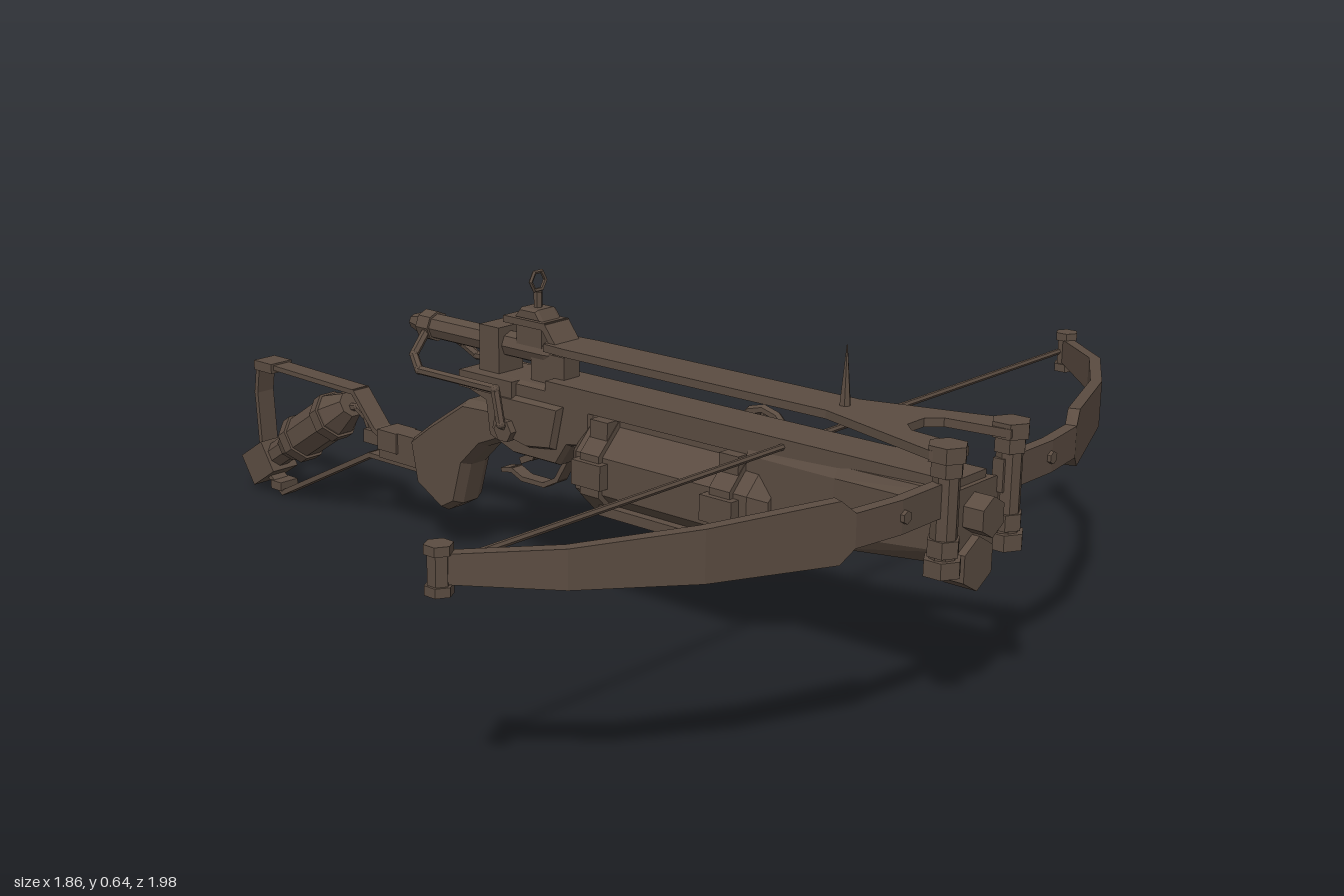
import * as THREE from 'three';

export function createModel() {
  const model = new THREE.Group();
  const brown = new THREE.MeshStandardMaterial({ color: 0x5b4c41 });
  brown.name = 'weathered brown';
  brown.flatShading = true;

  const V = (x, y, z) => new THREE.Vector3(x, y, z);
  const add = (name, geo, x = 0, y = 0, z = 0) => {
    const m = new THREE.Mesh(geo, brown);
    m.name = name;
    m.position.set(x, y, z);
    model.add(m);
    return m;
  };
  const box = (name, w, h, d, x, y, z) => add(name, new THREE.BoxGeometry(w, h, d), x, y, z);

  // Straight prism between two points, optionally tapered
  const rod = (name, a, b, r, sides = 8, r2 = r) => {
    const m = add(name, new THREE.CylinderGeometry(r2, r, a.distanceTo(b), sides));
    m.position.copy(a).add(b).multiplyScalar(0.5);
    m.quaternion.setFromUnitVectors(V(0, 1, 0), b.clone().sub(a).normalize());
    return m;
  };
  // Bent pipe with rounded joints
  const pipe = (name, pts, r, sides = 8) => pts.forEach((p, i) => {
    if (i) rod(name, pts[i - 1], p, r, sides);
    if (i && i < pts.length - 1) add(name + 'Joint', new THREE.IcosahedronGeometry(r * 1.05, 1), p.x, p.y, p.z);
  });
  // Flat strap following [z, y] points
  const strap = (name, pts, width, thick) => {
    for (let i = 1; i < pts.length; i++) {
      const [z0, y0] = pts[i - 1], [z1, y1] = pts[i];
      const m = box(name, width, thick, Math.hypot(z1 - z0, y1 - y0) + thick * 0.7, 0, (y0 + y1) / 2, (z0 + z1) / 2);
      m.rotation.x = -Math.atan2(y1 - y0, z1 - z0);
    }
  };
  // Side outline of [z, y] points, extruded across x with a bevel
  const profile = (name, pts, width, bevel = 0.012, x = 0) => {
    const shape = new THREE.Shape(pts.map(p => new THREE.Vector2(p[0], p[1])));
    const depth = width - 2 * bevel;
    const g = new THREE.ExtrudeGeometry(shape, {
      depth, bevelEnabled: bevel > 0, bevelSize: bevel * 0.5, bevelOffset: -bevel * 0.5, bevelThickness: bevel, bevelSegments: 1 });
    g.translate(0, 0, -depth / 2).rotateY(-Math.PI / 2);
    return add(name, g, x);
  };
  // Closed loft through rings of points
  const loft = (name, rings) => {
    const n = rings[0].length, pos = rings.flat(2), idx = [];
    for (let i = 0; i < rings.length - 1; i++) for (let j = 0; j < n; j++) {
      const a = i * n + j, b = i * n + (j + 1) % n;
      idx.push(a, b, a + n, b, b + n, a + n);
    }
    const e = (rings.length - 1) * n;
    for (let j = 1; j < n - 1; j++) idx.push(0, j + 1, j, e, e + j, e + j + 1);
    const g = new THREE.BufferGeometry();
    g.setAttribute('position', new THREE.Float32BufferAttribute(pos, 3));
    g.setIndex(idx);
    g.computeVertexNormals();
    return add(name, g);
  };

  // Fore-end: widens and rises towards the nose
  const section = (z, w, y0, y1) => [[-w, y0 + 0.03, z], [-w * 0.7, y0, z], [w * 0.7, y0, z],
    [w, y0 + 0.03, z], [w, y1 - 0.02, z], [w * 0.8, y1, z], [-w * 0.8, y1, z], [-w, y1 - 0.02, z]];
  loft('foreEnd', [section(0.5, 0.055, 0.25, 0.42), section(0.7, 0.06, 0.265, 0.42), section(0.95, 0.085, 0.30, 0.43)]);
  box('upperBar', 0.1, 0.045, 0.95, 0, 0.422, 0.465);
  box('lowerBar', 0.08, 0.09, 0.62, 0, 0.365, 0.26);
  rod('noseBolt', V(0, 0.38, 0.83), V(0, 0.38, 0.99), 0.037, 6);
  rod('noseBore', V(0, 0.29, 0.9), V(0, 0.29, 0.965), 0.05, 6);

  // Forked top plate
  const half = [[0.045, -0.02], [0.05, 0.04], [0.05, 0.67], [0.13, 0.94], [0.12, 0.975], [0.065, 0.975], [0.05, 0.85], [0.025, 0.825]];
  const outline = [...half, ...half.map(([x, z]) => [-x, z]).reverse()];
  const plate = new THREE.ExtrudeGeometry(new THREE.Shape(outline.map(p => new THREE.Vector2(...p))), { depth: 0.016, bevelEnabled: false });
  plate.rotateX(Math.PI / 2);
  add('topPlate', plate, 0, 0.517, 0);
  strap('topPlateStep', [[0.0, 0.509], [-0.03, 0.547], [-0.135, 0.547]], 0.07, 0.014);

  // Limb pivots, limbs and tips, mirrored
  const path = [[0.07, 0.95, 0.4, 0.46], [0.23, 0.95, 0.4, 0.46], [0.335, 0.935, 0.4, 0.46], [0.36, 0.925, 0.376, 0.484],
    [0.59, 0.838, 0.385, 0.475], [0.778, 0.727, 0.398, 0.465], [0.91, 0.585, 0.408, 0.456]];
  for (const s of [-1, 1]) {
    rod('pivotPin', V(s * 0.097, 0.3, 0.955), V(s * 0.097, 0.52, 0.955), 0.024, 8);
    for (const [y, h, r] of [[0.31, 0.03, 0.035], [0.345, 0.03, 0.03], [0.483, 0.025, 0.03], [0.511, 0.028, 0.036]])
      rod('pivotCap', V(s * 0.097, y - h / 2, 0.955), V(s * 0.097, y + h / 2, 0.955), r, 6);
    const rings = path.map(([x, z, y0, y1], i) => {
      const p = path[Math.max(i - 1, 0)], q = path[Math.min(i + 1, path.length - 1)];
      const l = Math.hypot(q[0] - p[0], q[1] - p[1]), t = 0.011;
      const nx = -(q[1] - p[1]) / l * t, nz = (q[0] - p[0]) / l * t;
      const ring = [[s * (x - nx), y0, z - nz], [s * (x + nx), y0, z + nz], [s * (x + nx), y1, z + nz], [s * (x - nx), y1, z - nz]];
      return s > 0 ? ring.reverse() : ring;
    });
    loft('bowLimb', rings);
    rod('limbRivet', V(s * 0.225, 0.43, 0.93), V(s * 0.225, 0.43, 0.968), 0.012, 6);
    rod('limbTip', V(s * 0.91, 0.395, 0.585), V(s * 0.91, 0.465, 0.585), 0.019, 6);
    for (const y of [0.397, 0.463]) rod('limbTipCap', V(s * 0.91, y - 0.008, 0.585), V(s * 0.91, y + 0.008, 0.585), 0.024, 6);
  }
  rod('bowString', V(-0.91, 0.43, 0.577), V(0.91, 0.43, 0.577), 0.006, 6);

  // Tank slung under the body, with collars and lugs
  const tank = (name, z0, z1, r, r2 = r) => {
    const m = rod(name, V(0, 0.297, z0), V(0, 0.297, z1), r, 8, r2);
    m.rotateY(Math.PI / 8);
  };
  tank('tank', 0.11, 0.53, 0.098);
  tank('tankRearCap', 0.08, 0.11, 0.07, 0.098);
  tank('tankFrontCap', 0.53, 0.56, 0.098, 0.07);
  for (const z of [0.155, 0.475]) {
    tank('tankCollar', z - 0.024, z + 0.024, 0.109);
    for (const s of [-1, 1]) {
      box('collarLug', 0.025, 0.05, 0.075, s * 0.1, 0.3, z);
      box('collarClamp', 0.03, 0.05, 0.045, s * 0.06, 0.375, z);
    }
  }
  for (const s of [-1, 1]) box('tankRib', 0.02, 0.02, 0.3, s * 0.075, 0.225, 0.315);

  // Side pipe with valve wheel
  pipe('sidePipe', [V(0.04, 0.335, -0.005), V(0.1, 0.335, -0.005), V(0.138, 0.335, 0.04), V(0.138, 0.335, 0.625),
    V(0.1, 0.335, 0.66), V(0.04, 0.335, 0.66)], 0.02);
  for (const z of [0.06, 0.605]) rod('pipeCollar', V(0.138, 0.335, z - 0.015), V(0.138, 0.335, z + 0.015), 0.025, 8);
  rod('valveBody', V(0.138, 0.335, 0.29), V(0.138, 0.335, 0.37), 0.029, 8);
  rod('valveStem', V(0.138, 0.335, 0.33), V(0.232, 0.335, 0.33), 0.014, 8);
  rod('valveHub', V(0.205, 0.335, 0.33), V(0.228, 0.335, 0.33), 0.022, 8);
  const wheel = add('valveWheel', new THREE.TorusGeometry(0.063, 0.01, 6, 12), 0.214, 0.335, 0.33);
  wheel.rotation.y = Math.PI / 2;
  for (let i = 0; i < 3; i++) {
    const a = i * Math.PI / 3, c = 0.06 * Math.cos(a), d = 0.06 * Math.sin(a);
    rod('valveSpoke', V(0.214, 0.335 - c, 0.33 - d), V(0.214, 0.335 + c, 0.33 + d), 0.007, 6);
  }

  // Receiver, trigger and guard
  profile('receiver', [[0.11, 0.43], [-0.23, 0.43], [-0.23, 0.385], [-0.18, 0.37], [-0.17, 0.3], [-0.1, 0.275], [0.02, 0.275], [0.05, 0.32], [0.11, 0.33]], 0.1);
  profile('receiverSide', [[0.04, 0.4], [-0.13, 0.4], [-0.15, 0.32], [-0.05, 0.3], [0.02, 0.31]], 0.13);
  box('receiverTop', 0.125, 0.035, 0.15, 0, 0.412, -0.165);
  for (const s of [-1, 1]) rod('receiverBolt', V(s * 0.06, 0.33, -0.1), V(s * 0.08, 0.33, -0.1), 0.024, 6);
  strap('triggerGuard', [[0.015, 0.28], [-0.015, 0.23], [-0.05, 0.212], [-0.11, 0.212], [-0.14, 0.225], [-0.165, 0.22]], 0.03, 0.01);
  strap('trigger', [[-0.075, 0.285], [-0.09, 0.262], [-0.115, 0.25]], 0.02, 0.014);

  // Grip and rear connector
  profile('grip', [[-0.14, 0.36], [-0.255, 0.355], [-0.36, 0.285], [-0.42, 0.24], [-0.4, 0.145], [-0.32, 0.1], [-0.275, 0.125], [-0.25, 0.215], [-0.2, 0.265], [-0.14, 0.29]], 0.085, 0.022);
  box('gripConnector', 0.05, 0.065, 0.15, 0, 0.205, -0.455);
  box('connectorBand', 0.06, 0.045, 0.06, 0, 0.215, -0.5);
  box('connectorTail', 0.04, 0.03, 0.07, 0, 0.21, -0.55);

  // Strap shoulder stock
  strap('stockUpperStrap', [[-0.52, 0.215], [-0.55, 0.23], [-0.615, 0.302], [-0.935, 0.31], [-0.945, 0.24], [-0.935, 0.11]], 0.046, 0.011);
  strap('stockLowerStrap', [[-0.4, 0.168], [-0.57, 0.168], [-0.87, 0.015], [-0.92, 0.05]], 0.04, 0.011);
  box('stockCornerBlock', 0.06, 0.022, 0.06, 0, 0.307, -0.91);
  box('stockHeel', 0.05, 0.02, 0.035, 0, 0.03, -0.885);

  // Rear flask lying diagonally in the stock
  const a = V(0, 0.265, -0.645), b = V(0, 0.065, -0.95);
  const flask = (name, t0, t1, r, r2 = r, sides = 8) => {
    const m = rod(name, a.clone().lerp(b, t0), a.clone().lerp(b, t1), r, sides, r2);
    m.rotateY(Math.PI / sides);
  };
  flask('flaskShoulder', 0, 0.15, 0.03, 0.05);
  flask('flask', 0.15, 0.6, 0.05);
  flask('flaskBase', 0.6, 0.7, 0.05, 0.034);
  flask('flaskNeck', 0.68, 0.85, 0.03);
  for (const t of [0.2, 0.56]) flask('flaskBand', t - 0.035, t + 0.035, 0.056);
  const butt = box('buttBlock', 0.072, 0.075, 0.085, 0, 0.075, -0.935);
  butt.rotation.x = -Math.atan2(0.2, 0.305);
  pipe('flaskHose', [V(0, 0.255, -0.66), V(0, 0.262, -0.625), V(0, 0.245, -0.595), V(0, 0.205, -0.575), V(0, 0.2, -0.54)], 0.009, 6);

  // Rear cylinder above the receiver
  const cyl = (name, z0, z1, r, r2 = r) => rod(name, V(0, 0.487, z0), V(0, 0.487, z1), r, 8, r2);
  cyl('topCylinder', -0.04, -0.37, 0.027);
  cyl('topCylinderNose', 0.0, -0.04, 0.016, 0.027);
  cyl('topCylinderCollar', -0.365, -0.4, 0.032);
  cyl('topCylinderKnob', -0.4, -0.437, 0.026, 0.015);
  box('cylinderClamp', 0.07, 0.1, 0.055, 0, 0.475, -0.18);
  box('cylinderSaddle', 0.045, 0.07, 0.09, 0, 0.455, -0.03);
  for (const s of [-1, 1])
    pipe('sideRod', [V(s * 0.06, 0.33, -0.1), V(s * 0.084, 0.345, -0.1), V(s * 0.084, 0.415, -0.115),
      V(s * 0.084, 0.415, -0.335), V(s * 0.07, 0.44, -0.365), V(s * 0.02, 0.48, -0.378)], 0.0095, 6);

  // Ring rear sight and spike front sight
  box('sightSupport', 0.045, 0.06, 0.07, 0, 0.52, -0.08);
  profile('rearSightBase', [[-0.04, 0.553], [-0.055, 0.575], [-0.1, 0.575], [-0.115, 0.553]], 0.06, 0.008);
  rod('rearSightPost', V(0, 0.57, -0.076), V(0, 0.606, -0.076), 0.009, 6);
  add('rearSightRing', new THREE.TorusGeometry(0.021, 0.0045, 5, 6), 0, 0.628, -0.076);
  rod('frontSightFoot', V(0, 0.515, 0.675), V(0, 0.55, 0.675), 0.011, 6, 0.008);
  rod('frontSightSpike', V(0, 0.55, 0.675), V(0, 0.627, 0.675), 0.008, 6, 0.001);

  return model;
}
